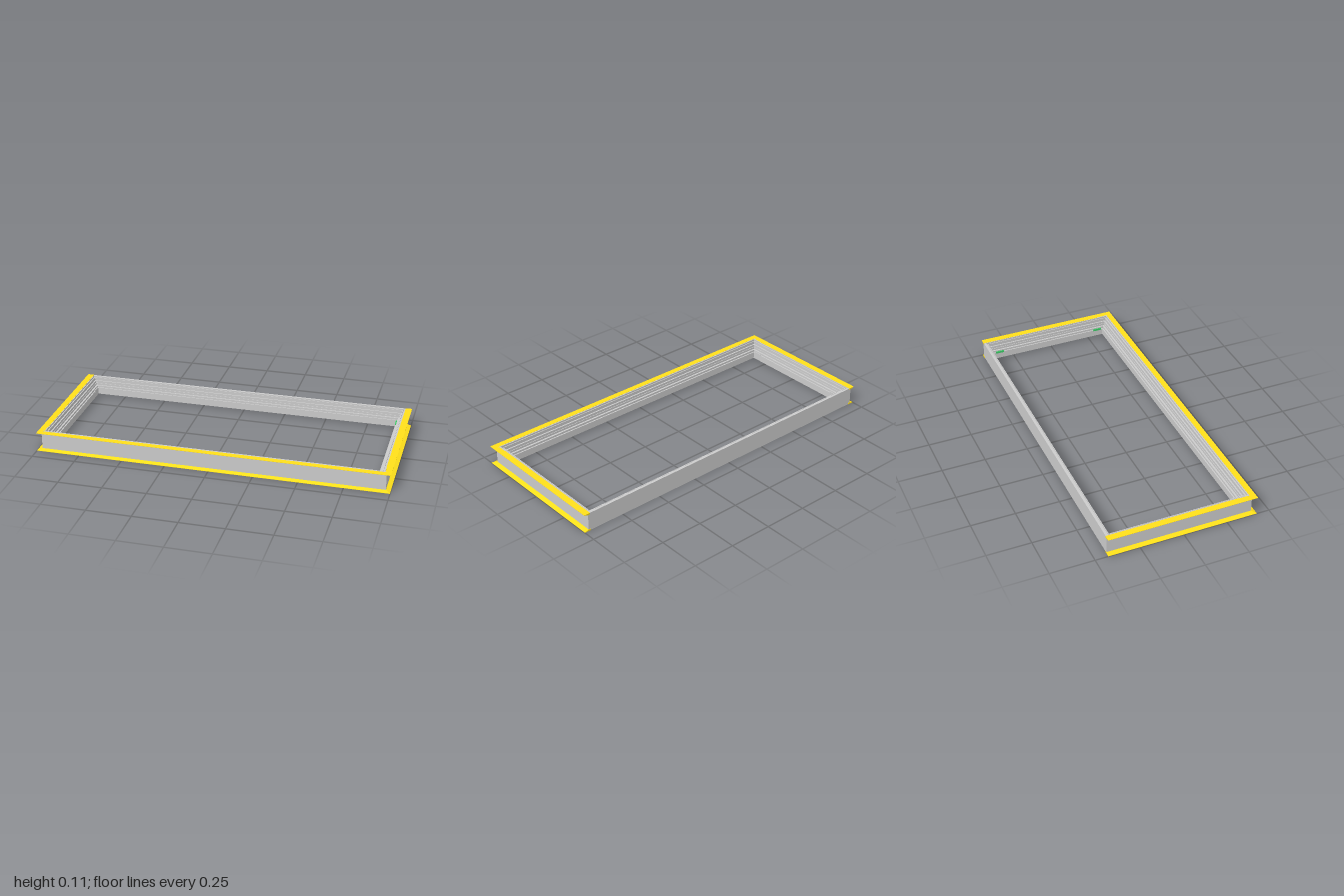
import * as THREE from 'three';

const HALF_X = 0.975, FRONT = 0.405, BACK = -0.426, TOP = 0.109;

// Sweeps a closed [inset, y] profile through mitred corners with flat faces.
function sweep(profile, corners, closed) {
  const pos = [];
  const tri = (...pts) => pts.forEach((p) => pos.push(...p));
  const n = profile.length;
  const rings = corners.map((c) => profile.map(([d, y]) => c(d, y)));
  const spans = closed ? rings.length : rings.length - 1;
  for (let k = 0; k < spans; k++) {
    const a = rings[k], b = rings[(k + 1) % rings.length];
    for (let i = 0; i < n; i++) {
      const j = (i + 1) % n;
      tri(a[i], b[i], b[j]);
      tri(a[i], b[j], a[j]);
    }
  }
  if (!closed) {
    for (const r of [rings[0], rings[rings.length - 1]]) {
      for (let i = 1; i < n - 1; i++) tri(r[0], r[i], r[i + 1]);
    }
  }
  const g = new THREE.BufferGeometry();
  g.setAttribute('position', new THREE.Float32BufferAttribute(pos, 3));
  g.computeVertexNormals();
  return g;
}

export function createModel() {
  const model = new THREE.Group();
  const grey = new THREE.MeshStandardMaterial({ color: 0xcccccc, side: THREE.DoubleSide });
  const yellow = new THREE.MeshStandardMaterial({ color: 0xffe01a, side: THREE.DoubleSide });
  const green = new THREE.MeshStandardMaterial({ color: 0x3fcf6a });

  const add = (name, geometry, material, x = 0, y = 0, z = 0) => {
    const mesh = new THREE.Mesh(geometry, material);
    mesh.name = name;
    mesh.position.set(x, y, z);
    model.add(mesh);
  };

  // Hollow frame with stepped ledges inside and grooves underneath
  const frameProfile = [
    [0, 0.001], [0, 0.108], [0.3, 0.108], [0.3, 0.098], [0.42, 0.098],
    [0.42, 0.104], [0.5, 0.104], [0.5, 0.086], [0.64, 0.086], [0.64, 0.072],
    [0.7, 0.072], [0.7, 0.06], [0.88, 0.06], [0.88, 0.048], [1, 0.048],
    [1, 0.008], [0.86, 0.008], [0.86, 0.016], [0.7, 0.016], [0.7, 0.004],
    [0.55, 0.004], [0.55, 0.014], [0.42, 0.014], [0.42, 0.001],
  ];
  const frameCorner = (sx, front) => (d, y) => [
    sx * (HALF_X - 0.055 * d), y, front ? FRONT - 0.06 * d : BACK + 0.047 * d,
  ];
  add('frame', sweep(frameProfile, [
    frameCorner(-1, true), frameCorner(1, true), frameCorner(1, false), frameCorner(-1, false),
  ], true), grey);

  // Tapered flanges around the two ends and the front
  const topProfile = [[0, 0.1], [-0.025, 0.1075], [-0.025, TOP], [0.012, TOP], [0.012, 0.1]];
  const bottomProfile = topProfile.map(([d, y]) => [d, TOP - y]).reverse();
  const flangeCorner = (sx, front) => (d, y) => [
    sx * (HALF_X - d), y, front ? FRONT - 0.9 * d : -0.4275,
  ];
  const flangePath = [
    flangeCorner(-1, false), flangeCorner(-1, true), flangeCorner(1, true), flangeCorner(1, false),
  ];
  add('topFlange', sweep(topProfile, flangePath, false), yellow);
  add('bottomFlange', sweep(bottomProfile, flangePath, false), yellow);

  for (const sx of [-1, 1]) {
    // Corner plates on the front mitres
    add('cornerPlateAlong', new THREE.BoxGeometry(0.07, 0.003, 0.006), grey, sx * 0.935, 0.108, 0.39);
    add('cornerPlateAcross', new THREE.BoxGeometry(0.006, 0.003, 0.06), grey, sx * 0.962, 0.108, 0.363);
    // Small clips on the inner lip
    for (const z of [-0.34, 0.31]) {
      add('innerClip', new THREE.BoxGeometry(0.006, 0.012, 0.05), sx > 0 ? green : grey, sx * 0.921, 0.049, z);
    }
  }
  return model;
}
